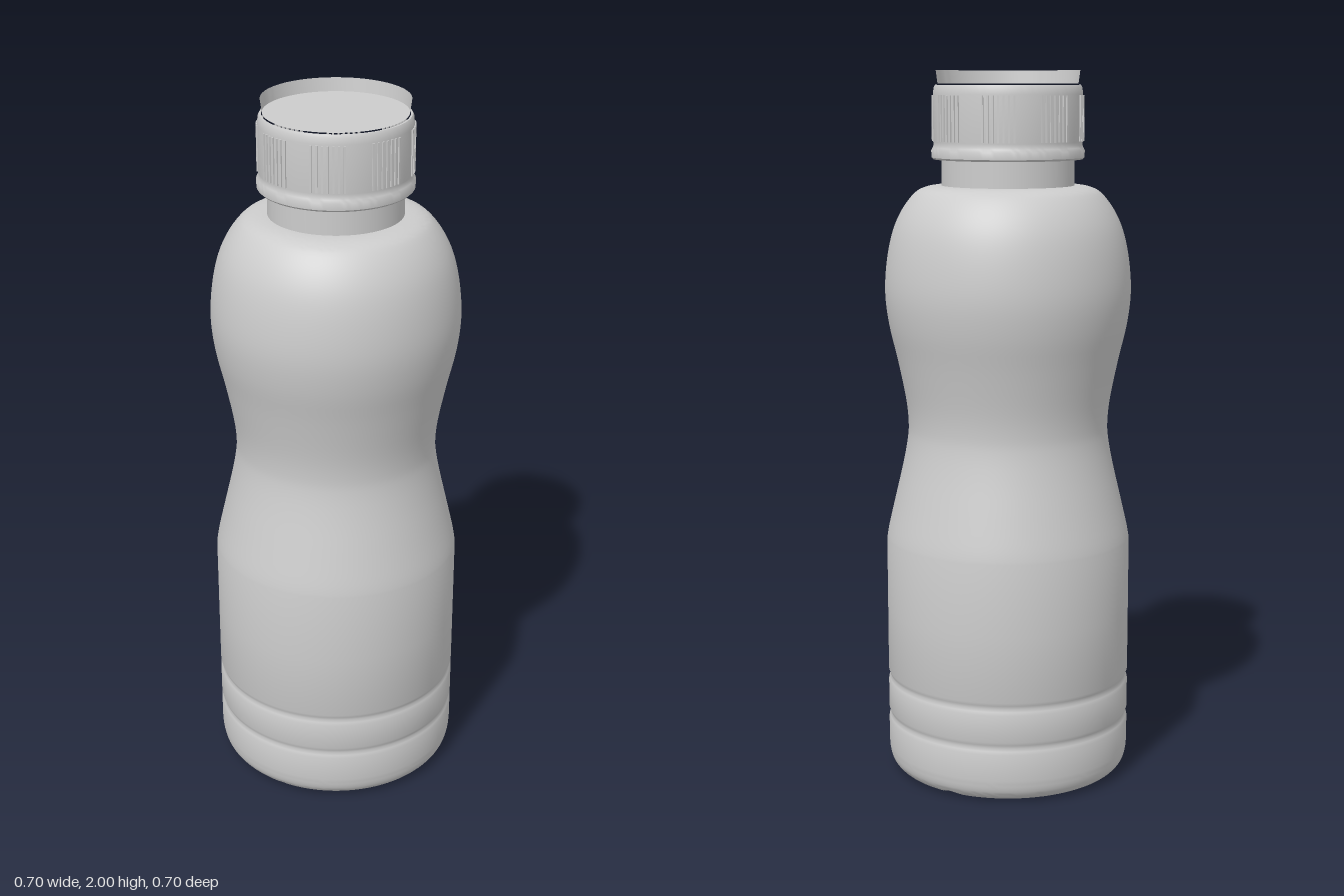
import * as THREE from 'three';
import { toCreasedNormals } from 'three/addons/utils/BufferGeometryUtils.js';

const SEGMENTS = 128;
const vec = (p) => new THREE.Vector2(p[0], p[1]);

// Smooth profile through a few [radius, height] points
function smooth(points, count) {
  return new THREE.SplineCurve(points.map(vec)).getPoints(count);
}

function turned(profile) {
  return new THREE.LatheGeometry(profile, SEGMENTS);
}

// Shallow ring groove in the side wall
function groove(y, r) {
  return [[r, y - 0.018], [r - 0.003, y - 0.009], [r - 0.006, y], [r - 0.003, y + 0.009], [r, y + 0.018]].map(vec);
}

export function createModel() {
  const bottle = new THREE.Group();
  bottle.name = 'bottle';
  const plastic = new THREE.MeshStandardMaterial({ color: 0xcccccc });
  plastic.name = 'greyPlastic';

  const add = (name, geometry, parent = bottle) => {
    const mesh = new THREE.Mesh(geometry, plastic);
    mesh.name = name;
    parent.add(mesh);
    return mesh;
  };

  // Base with a recessed underside, grooved wall, waist and shoulder
  const R = 0.348;
  const profile = [
    ...[[0, 0.03], [0.215, 0.03], [0.235, 0.025], [0.255, 0.01], [0.272, 0.001]].map(vec),
    ...smooth([[0.29, 0], [0.318, 0.007], [0.338, 0.027], [0.346, 0.055], [R, 0.085]], 14),
    ...groove(0.163, R),
    ...groove(0.277, R),
    vec([R, 0.48]),
    ...smooth([[R, 0.68], [0.341, 0.72], [0.32, 0.81], [0.299, 0.9], [0.286, 0.97], [0.283, 1.02],
      [0.29, 1.09], [0.312, 1.2], [0.335, 1.3], [0.345, 1.39], [0.339, 1.48], [0.322, 1.56],
      [0.295, 1.62], [0.26, 1.665], [0.23, 1.681], [0.2, 1.686]], 60),
    vec([0.183, 1.686]),
  ];
  const body = turned(profile);

  // Two small notches across the foot ring, front and back
  const pos = body.attributes.position;
  for (let i = 0; i < pos.count; i++) {
    const x = pos.getX(i), y = pos.getY(i), z = pos.getZ(i);
    if (y < 0.03 && Math.abs(x) < 0.045 && Math.abs(z) > 0.22) {
      const lift = 0.016 * (0.5 + 0.5 * Math.cos((x / 0.045) * Math.PI));
      pos.setY(i, Math.max(y, lift));
    }
  }
  add('body', toCreasedNormals(body, 0.7));

  // Neck
  add('neck', turned([[0.185, 1.68], [0.185, 1.8]].map(vec)));

  // Screw cap with a tamper ring at its lower edge
  const cap = new THREE.Group();
  cap.name = 'cap';
  bottle.add(cap);
  const shell = [[0.184, 1.758], [0.207, 1.758], [0.212, 1.763], [0.213, 1.782], [0.209, 1.79],
    [0.206, 1.797], [0.207, 1.805], [0.207, 1.935], [0.205, 1.953], [0.201, 1.96], [0.196, 1.96]];
  add('capShell', toCreasedNormals(turned(shell.map(vec)), 0.7), cap);

  // Open rim above a sunken lid
  const lid = [[0.199, 2], [0.194, 1.963], [0, 1.963]];
  add('capLid', toCreasedNormals(turned(lid.map(vec)), 0.7), cap);

  // Grip ribs in eight groups
  const ribShape = new THREE.BoxGeometry(0.0055, 0.125, 0.008);
  const ribs = new THREE.Group();
  ribs.name = 'gripRibs';
  cap.add(ribs);
  for (let g = 0; g < 8; g++) {
    for (let i = -3; i <= 3; i++) {
      const a = THREE.MathUtils.degToRad(22.5 + g * 45 + i * 4);
      const rib = add('gripRib', ribShape, ribs);
      rib.position.set(0.207 * Math.sin(a), 1.87, 0.207 * Math.cos(a));
      rib.rotation.y = a;
    }
  }
  return bottle;
}
